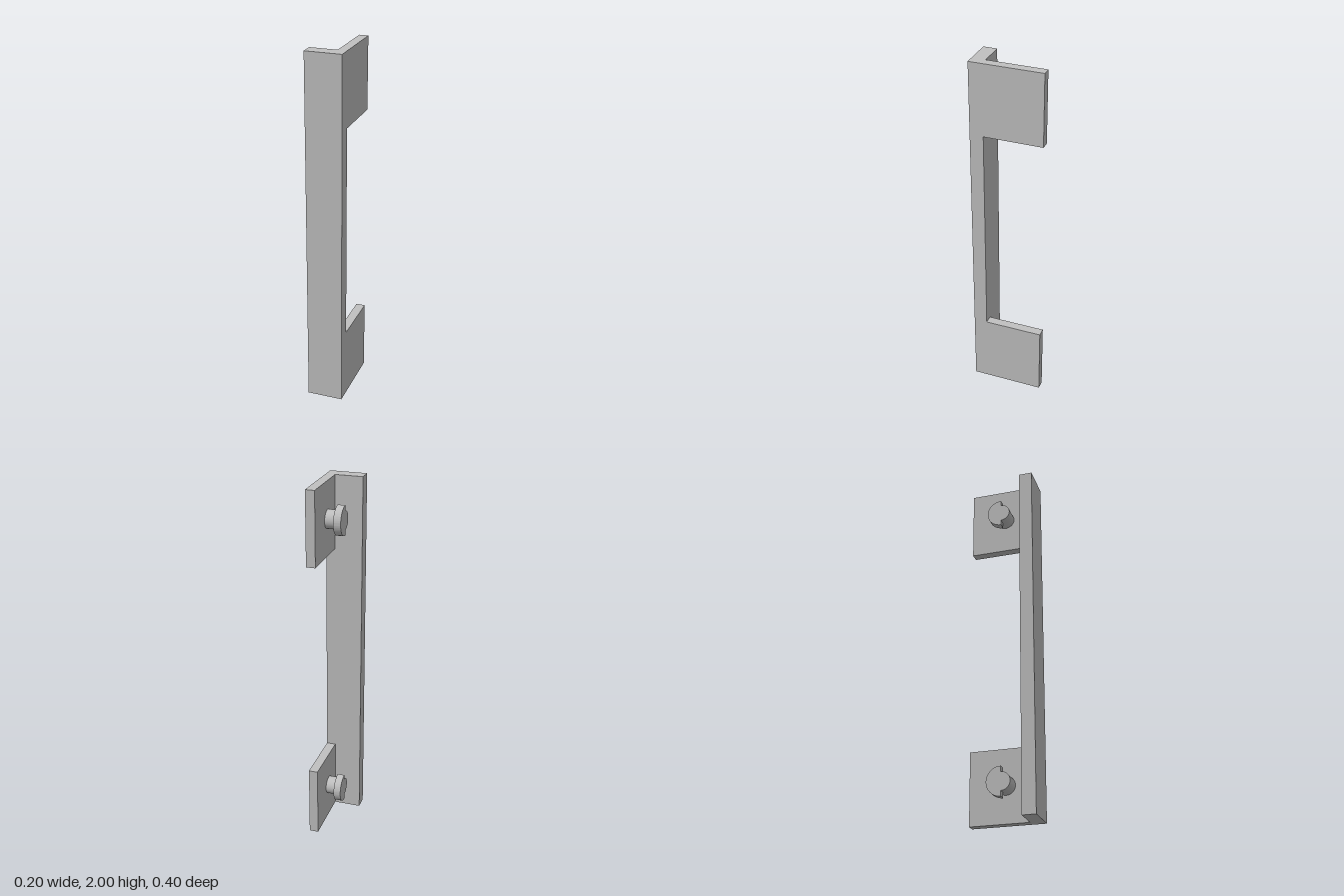
import * as THREE from 'three';
import { toCreasedNormals } from 'three/addons/utils/BufferGeometryUtils.js';

export function createModel() {
  const model = new THREE.Group();
  model.name = 'handleBracket';
  const metal = new THREE.MeshStandardMaterial({ color: 0xc0c0c0 });
  metal.name = 'light grey metal';

  const add = (parent, name, geometry, x, y, z) => {
    const mesh = new THREE.Mesh(geometry, metal);
    mesh.name = name;
    mesh.position.set(x, y, z);
    parent.add(mesh);
  };

  // Long front bar
  add(model, 'frontBar', new THREE.BoxGeometry(0.2, 2, 0.075), 0, 1, 0.1625);

  // Stud head: large half disc towards the back, shaft-sized half disc towards the front
  const outline = new THREE.Shape();
  outline.absarc(0, 0, 0.08, -Math.PI / 2, Math.PI / 2, false);
  outline.absarc(0, 0, 0.05, Math.PI / 2, Math.PI * 1.5, false);
  const headGeometry = toCreasedNormals(
    new THREE.ExtrudeGeometry(outline, { depth: 0.04, bevelEnabled: false, curveSegments: 24 })
      .rotateY(Math.PI / 2), 0.5);
  const shaftGeometry = new THREE.CylinderGeometry(0.05, 0.05, 0.055, 48).rotateZ(Math.PI / 2);
  const tabGeometry = new THREE.BoxGeometry(0.05, 0.4, 0.325);

  // Side tab with a hooked stud at each end
  for (const [end, y] of [['lower', 0.2], ['upper', 1.8]]) {
    const mount = new THREE.Group();
    mount.name = end + 'Mount';
    mount.position.y = y;
    add(mount, end + 'Tab', tabGeometry, 0.075, 0, -0.0375);
    add(mount, end + 'StudShaft', shaftGeometry, 0.0225, 0, 0);
    add(mount, end + 'StudHead', headGeometry, -0.045, 0, 0);
    model.add(mount);
  }
  return model;
}
